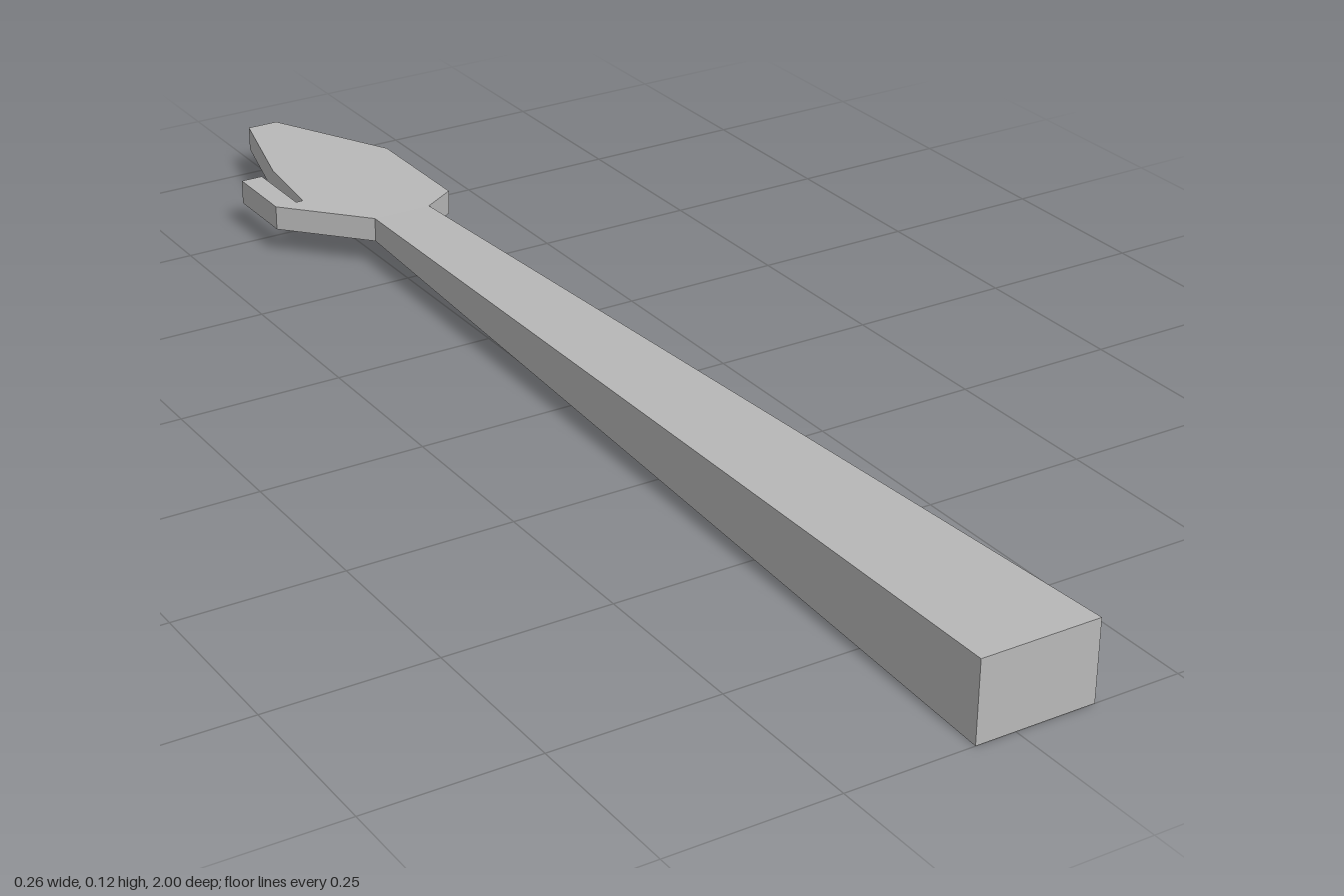
import * as THREE from 'three';

export function createModel() {
  const group = new THREE.Group();
  const grey = new THREE.MeshStandardMaterial({ color: 0xb8b8b8 });
  grey.name = 'plain grey';

  const add = (name, geometry) => {
    const mesh = new THREE.Mesh(geometry, grey);
    mesh.name = name;
    group.add(mesh);
  };

  // Handle: a box tapering from the thick front end to the head
  const handle = new THREE.BoxGeometry(1, 1, 1);
  const thick = { x: [-0.06, 0.12], y: [0, 0.12], z: 1 };
  const thin = { x: [-0.02, 0.075], y: [0.042, 0.08], z: -0.565 };
  const p = handle.attributes.position;
  for (let i = 0; i < p.count; i++) {
    const end = p.getZ(i) > 0 ? thick : thin;
    p.setXYZ(i, end.x[p.getX(i) > 0 ? 1 : 0], end.y[p.getY(i) > 0 ? 1 : 0], end.z);
  }
  handle.computeVertexNormals();
  add('handle', handle);

  // Head: a flat plate with a blunt tip and a side hook, outlined as [x, z]
  const outline = [
    [-0.02, -0.565], [0.075, -0.565], [0.13, -0.6], [0.13, -0.805],
    [0.028, -1], [-0.022, -1], [-0.07, -0.815], [-0.083, -0.685],
    [-0.095, -0.685], [-0.095, -0.805], [-0.13, -0.805], [-0.13, -0.685],
  ];
  const shape = new THREE.Shape(outline.map(([x, z]) => new THREE.Vector2(x, -z)));
  const head = new THREE.ExtrudeGeometry(shape, { depth: 0.038, bevelEnabled: false });
  head.rotateX(-Math.PI / 2).translate(0, 0.042, 0);
  add('head', head);

  return group;
}
